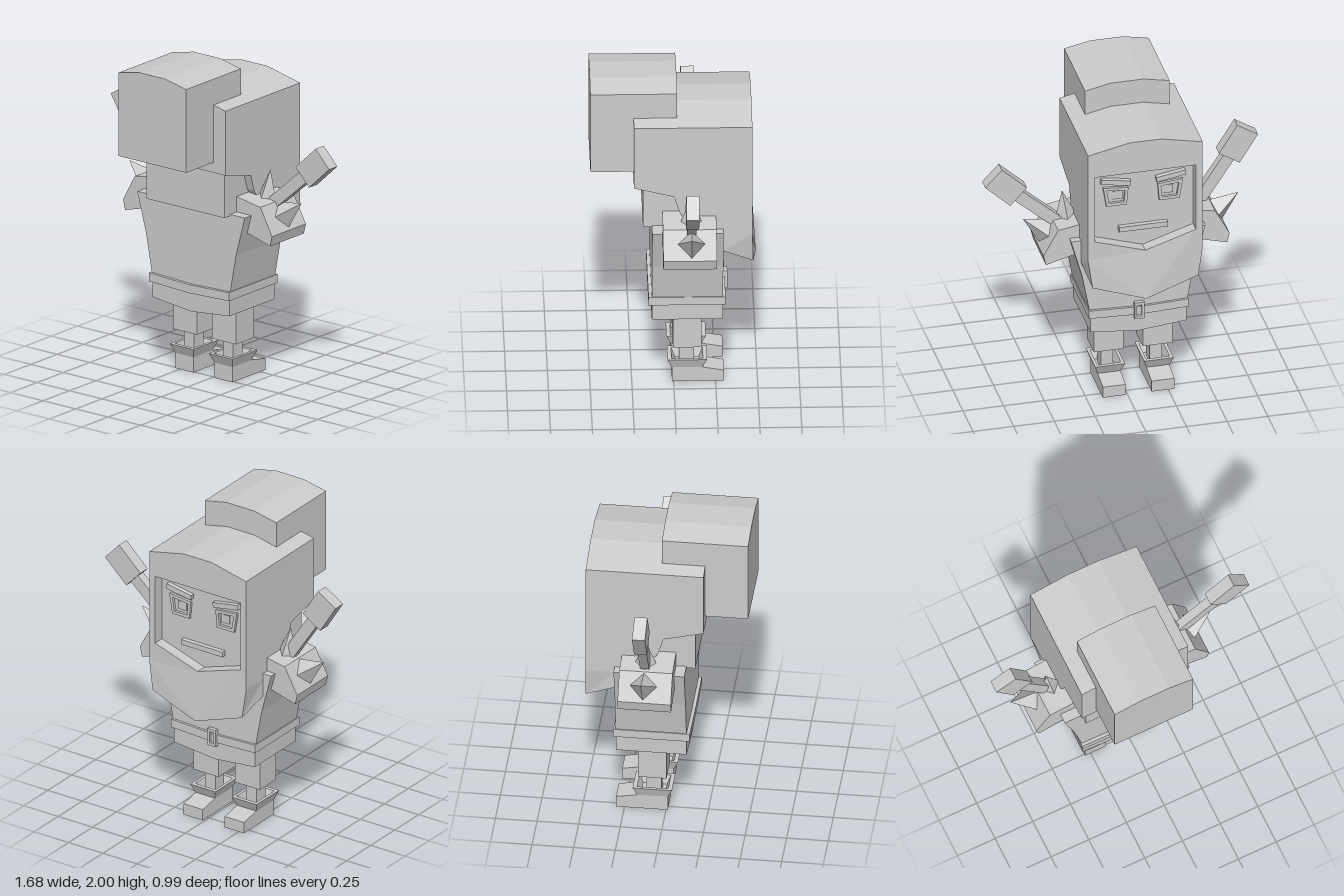
import * as THREE from 'three';

const mat = new THREE.MeshStandardMaterial({ color: 0xcccccc, flatShading: true, side: THREE.DoubleSide });

function add(parent, name, geo, x = 0, y = 0, z = 0) {
  const m = new THREE.Mesh(geo, mat);
  m.name = name;
  m.position.set(x, y, z);
  parent.add(m);
  return m;
}

// box given by its min / max corners
function box(parent, name, x0, x1, y0, y1, z0, z1) {
  return add(parent, name, new THREE.BoxGeometry(x1 - x0, y1 - y0, z1 - z0),
    (x0 + x1) / 2, (y0 + y1) / 2, (z0 + z1) / 2);
}

const toShape = (pts) => new THREE.Shape(pts.map(([x, y]) => new THREE.Vector2(x, y)));

// x-y outline extruded from z0 to z1, with an optional hole
function slab(pts, z0, z1, hole) {
  const s = toShape(pts);
  if (hole) s.holes.push(toShape(hole));
  return new THREE.ExtrudeGeometry(s, { depth: z1 - z0, bevelEnabled: false }).translate(0, 0, z0);
}

// right half of an outline, mirrored to a full closed one
const mirrored = (half) => [...half, ...half.filter((p) => p[0] > 0).reverse().map(([x, ...r]) => [-x, ...r])];

// skin over equal-length rings, first ring capped
function loft(rings, cap) {
  const n = rings[0].length, idx = [];
  for (let i = 0; i < rings.length - 1; i++) {
    for (let j = 0; j < n; j++) {
      const a = i * n + j, b = i * n + (j + 1) % n;
      idx.push(a, a + n, b + n, a, b + n, b);
    }
  }
  if (cap) for (let j = 1; j < n - 1; j++) idx.push(0, j, j + 1);
  const g = new THREE.BufferGeometry();
  g.setAttribute('position', new THREE.Float32BufferAttribute(rings.flat(2), 3));
  g.setIndex(idx);
  const out = g.toNonIndexed();
  out.computeVertexNormals();
  return out;
}

// four-sided spike from a base centre to a tip
function spike(parent, name, base, tip, radius) {
  const d = new THREE.Vector3(tip[0] - base[0], tip[1] - base[1], 0);
  const m = add(parent, name, new THREE.ConeGeometry(radius, d.length(), 4),
    (base[0] + tip[0]) / 2, (base[1] + tip[1]) / 2, -0.1);
  m.rotation.z = Math.atan2(-d.x, d.y);
}

// bar between two points in the x-y plane
function bar(parent, name, a, b, width, depth, z = -0.1) {
  const dx = b[0] - a[0], dy = b[1] - a[1];
  const m = add(parent, name, new THREE.BoxGeometry(width, Math.hypot(dx, dy), depth),
    (a[0] + b[0]) / 2, (a[1] + b[1]) / 2, z);
  m.rotation.z = Math.atan2(-dx, dy);
}

function buildHead() {
  const head = new THREE.Group();
  head.name = 'head';
  const W = 0.3525;

  // hood and beard: sections from the nape to the face, [z, side bottom, centre drop]
  const section = ([z, yb, drop]) => mirrored([
    [0, yb - drop, z], [W, yb, z], [W, Math.max(1.06, yb + 0.03), z], [W, 1.785, z], [0.1, 1.84, z],
  ]);
  const rings = [[0.24, 1.38, 0], [0, 1.32, 0], [-0.03, 1.22, 0], [-0.16, 1.0, 0.08], [-0.29, 0.95, 0.1]].map(section);
  const front = mirrored([
    [0, 0.765, -0.495], [0.325, 0.87, -0.472], [W, 1.06, -0.467], [W, 1.785, -0.467], [0.1, 1.84, -0.467],
  ]);
  add(head, 'hoodAndBeard', loft([...rings, front], true));

  // front rim around the face opening; the chin pushes forward
  const opening = mirrored([[0, 1.085], [0.31, 1.185], [0.31, 1.63]]);
  const s = toShape(front);
  s.holes.push(toShape(opening));
  const rim = new THREE.ShapeGeometry(s);
  const p = rim.attributes.position;
  for (let i = 0; i < p.count; i++) {
    const x = Math.abs(p.getX(i)), y = p.getY(i);
    p.setZ(i, y < 0.8 ? 0.495 : y < 1 ? 0.472 : 0.467);
    if (x > W) p.setX(i, Math.sign(p.getX(i)) * W);
  }
  rim.rotateY(Math.PI);
  rim.computeVertexNormals();
  add(head, 'faceRim', rim);

  // recessed face
  add(head, 'faceRecess', loft([-0.467, -0.395].map((z) => opening.map(([x, y]) => [x, y, z]))));
  add(head, 'face', new THREE.ShapeGeometry(toShape(opening)).rotateY(Math.PI), 0, 0, -0.395);
  for (const k of [1, -1]) {
    const flip = (pts) => pts.map(([x, y]) => [x * k, y]);
    add(head, 'eyeFrame', slab(
      flip([[0.09, 1.5], [0.1, 1.385], [0.225, 1.385], [0.245, 1.515]]), -0.412, -0.39,
      flip([[0.11, 1.482], [0.118, 1.405], [0.208, 1.405], [0.222, 1.493]])));
    box(head, 'pupil', k * 0.155 - 0.03, k * 0.155 + 0.03, 1.425, 1.48, -0.403, -0.39);
    bar(head, 'eyebrow', [0.08 * k, 1.535], [0.26 * k, 1.565], 0.032, 0.04, -0.405);
  }
  box(head, 'mouth', -0.15, 0.15, 1.205, 1.238, -0.425, -0.39);

  // hair bun on the back of the head and hair over the neck
  add(head, 'hairBun', slab(mirrored([[0.26, 1.445], [0.26, 1.967], [0.1, 2]]), -0.02, 0.498));
  box(head, 'neckHair', -0.3, 0.3, 1.09, 1.4, -0.12, 0.185);
  return head;
}

function buildLeg(k) {
  const leg = new THREE.Group();
  leg.name = k > 0 ? 'leftLeg' : 'rightLeg';
  leg.position.x = k * 0.15;
  box(leg, 'thigh', -0.091, 0.091, 0.24, 0.47, -0.165, 0.005);
  box(leg, 'shin', -0.038, 0.038, 0.08, 0.25, -0.122, -0.032);
  // boot side outline runs along z, extruded across x
  const boot = slab([[-0.01, 0], [0.3, 0], [0.3, 0.072], [0.17, 0.095], [-0.01, 0.1]], -0.07, 0.07);
  add(leg, 'boot', boot.rotateY(Math.PI / 2));
  // flared hollow cuff
  const r = Math.SQRT2;
  const cuff = new THREE.LatheGeometry(
    [[0.07, 0.095], [0.091, 0.155], [0.072, 0.155], [0.055, 0.1]].map(([x, y]) => new THREE.Vector2(x * r, y)), 4);
  add(leg, 'bootCuff', cuff.rotateY(Math.PI / 4).scale(1, 1, 1.3), 0, 0, -0.081);
  return leg;
}

function buildArm(k, elbow, wrist, tip) {
  const arm = new THREE.Group();
  arm.name = k > 0 ? 'leftArm' : 'rightArm';
  const pauldron = [[0.28, 1.2], [0.3, 0.99], [0.4, 0.98], [0.557, 0.937], [0.572, 1.0], [0.482, 1.165]];
  add(arm, 'shoulderGuard', slab(pauldron.map(([x, y]) => [x * k, y]), -0.25, 0.07));
  spike(arm, 'outerSpike', [k * 0.515, 1.085], [k * 0.662, 1.185], 0.085);
  spike(arm, 'upperSpike', [k * 0.4, 1.17], [k * 0.422, 1.35], 0.065);
  bar(arm, 'forearm', elbow, wrist, 0.075, 0.055);
  bar(arm, 'hand', wrist, tip, 0.15, 0.078);
  return arm;
}

export function createModel() {
  const model = new THREE.Group();
  model.name = 'figure';
  const body = new THREE.Group();
  body.name = 'figureParts';
  body.position.x = -0.0675;
  model.add(body);

  body.add(buildHead());

  // tapered torso with a shallow V hem
  add(body, 'torso', slab(mirrored(
    [[0, 0.43], [0.295, 0.46], [0.295, 0.58], [0.345, 0.85], [0.413, 1.1]]), -0.293, 0.132));
  add(body, 'belt', slab(mirrored([[0, 0.55], [0.307, 0.562], [0.307, 0.615], [0, 0.603]]), -0.308, 0.152));
  add(body, 'buckle', slab(
    [[-0.03, 0.53], [0.03, 0.53], [0.03, 0.64], [-0.03, 0.64]], -0.325, -0.3,
    [[-0.015, 0.548], [0.015, 0.548], [0.015, 0.622], [-0.015, 0.622]]));

  for (const k of [1, -1]) body.add(buildLeg(k));

  body.add(buildArm(1, [0.43, 1.13], [0.6975, 1.365], [0.852, 1.51]));
  body.add(buildArm(-1, [-0.4, 1.15], [-0.5975, 1.45], [-0.71, 1.63]));
  return model;
}
